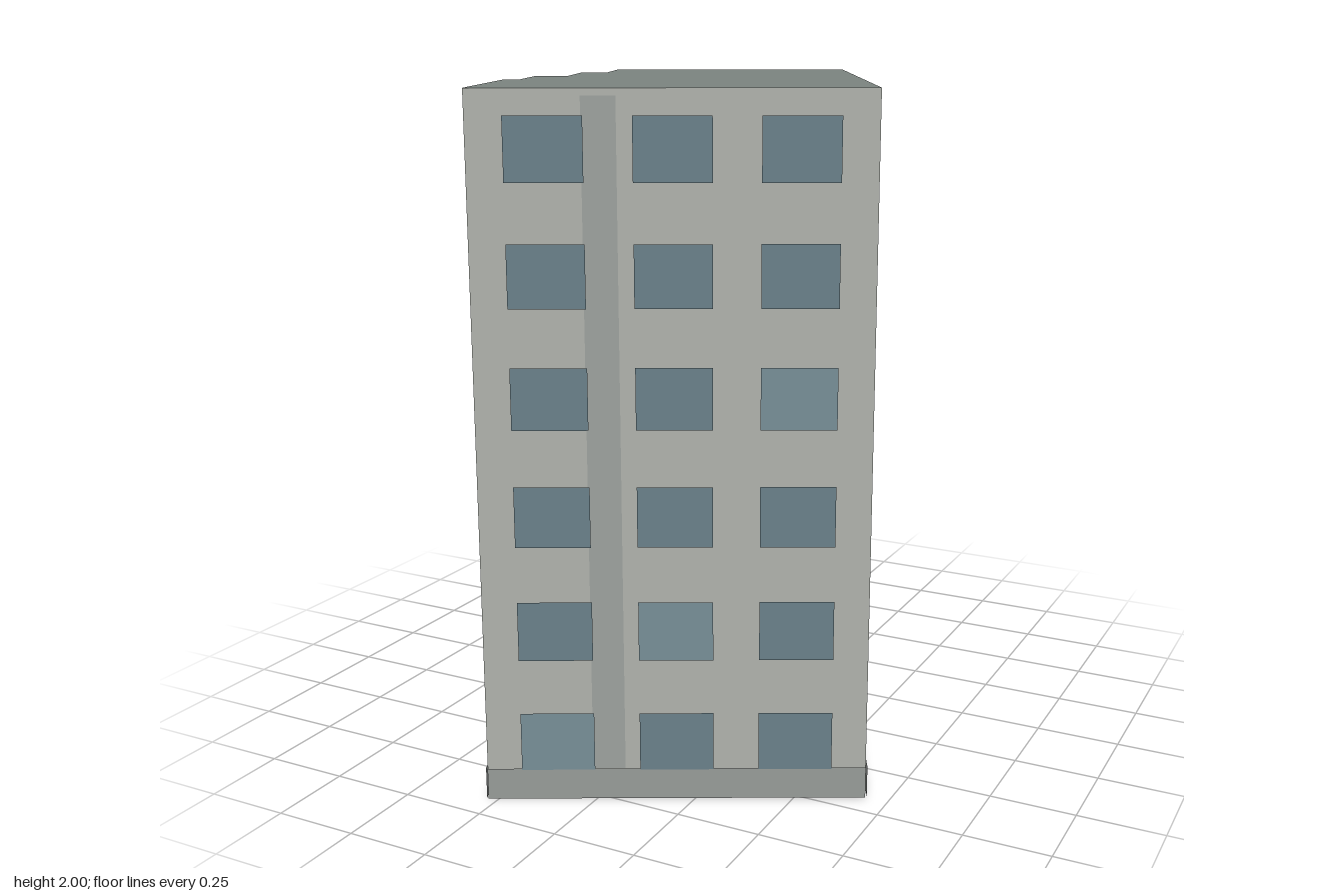
import * as THREE from 'three';

const HEIGHT = 2, FLOORS = 6, FLOOR = 1 / 3;

// Footprint corners [x, z, windows per floor on the wall that starts here]
const footprint = [
  [-0.28, 0.91, 3], [0.68, 0.415, 3], [0.02, -0.91, 2], [-0.68, -0.56, 1],
  [-0.545, -0.255, 0], [-0.62, -0.22, 1], [-0.495, 0.06, 0], [-0.585, 0.105, 1],
  [-0.46, 0.385, 0], [-0.5, 0.41, 1],
];

// Window width and spacing as fractions of the wall, by window count
const layout = { 1: [0.53, 0], 2: [0.287, 0.457], 3: [0.193, 0.312] };
// Floor with a lighter pane in each column, counted from the right
const lightFloors = [0, 1, 3];

const paint = (color) => new THREE.MeshStandardMaterial({ color, side: THREE.DoubleSide });
const mats = {
  wall: paint(0xb0b3ad),
  roof: paint(0x7c8581),
  strip: paint(0x9ea29f),
  base: paint(0x979c99),
  pane: paint(0x6b818a),
  lightPane: paint(0x788f98),
};

// Flat upright panel centred at x, from y0 to y1, lifted off the wall by z
function panel(name, mat, x, width, y0, y1, z) {
  const mesh = new THREE.Mesh(new THREE.PlaneGeometry(width, y1 - y0), mat);
  mesh.name = name;
  mesh.position.set(x, (y0 + y1) / 2, z);
  return mesh;
}

// One wall running left to right as seen from outside
function makeWall([x0, z0, count], [x1, z1]) {
  const wall = new THREE.Group();
  wall.name = count ? 'facade' : 'stepWall';
  const len = Math.hypot(x1 - x0, z1 - z0);
  wall.position.set(x0, 0, z0);
  wall.rotation.y = Math.atan2(z0 - z1, x1 - x0);
  wall.add(panel('wall', mats.wall, len / 2, len, 0, HEIGHT, 0));
  if (!count) return wall;

  // plinth band and vertical strip, the strip passing behind the windows
  wall.add(panel('plinth', mats.base, len / 2, len, 0, 0.093, 0.005));
  wall.add(panel('verticalStrip', mats.strip, len * 0.322, len * 0.085, 0.093, 1.98, 0.002));

  // windows
  const [w, pitch] = layout[count];
  for (let c = 0; c < count; c++) {
    const x = len * (0.5 + (c - (count - 1) / 2) * pitch);
    const lightFloor = lightFloors[3 - count + c];
    for (let r = 0; r < FLOORS; r++) {
      const y = 0.09 + r * FLOOR;
      const mat = r === lightFloor ? mats.lightPane : mats.pane;
      wall.add(panel('window', mat, x, len * w, y, y + 0.173, 0.006));
    }
  }
  return wall;
}

export function createModel() {
  const building = new THREE.Group();
  building.name = 'apartmentBlock';

  // walls around the footprint, open underneath
  footprint.forEach((p, i) => building.add(makeWall(p, footprint[(i + 1) % footprint.length])));

  // flat roof
  const outline = new THREE.Shape(footprint.map(([x, z]) => new THREE.Vector2(x, -z)));
  const roof = new THREE.Mesh(new THREE.ShapeGeometry(outline), mats.roof);
  roof.name = 'roof';
  roof.rotation.x = -Math.PI / 2;
  roof.position.y = HEIGHT;
  building.add(roof);

  return building;
}
